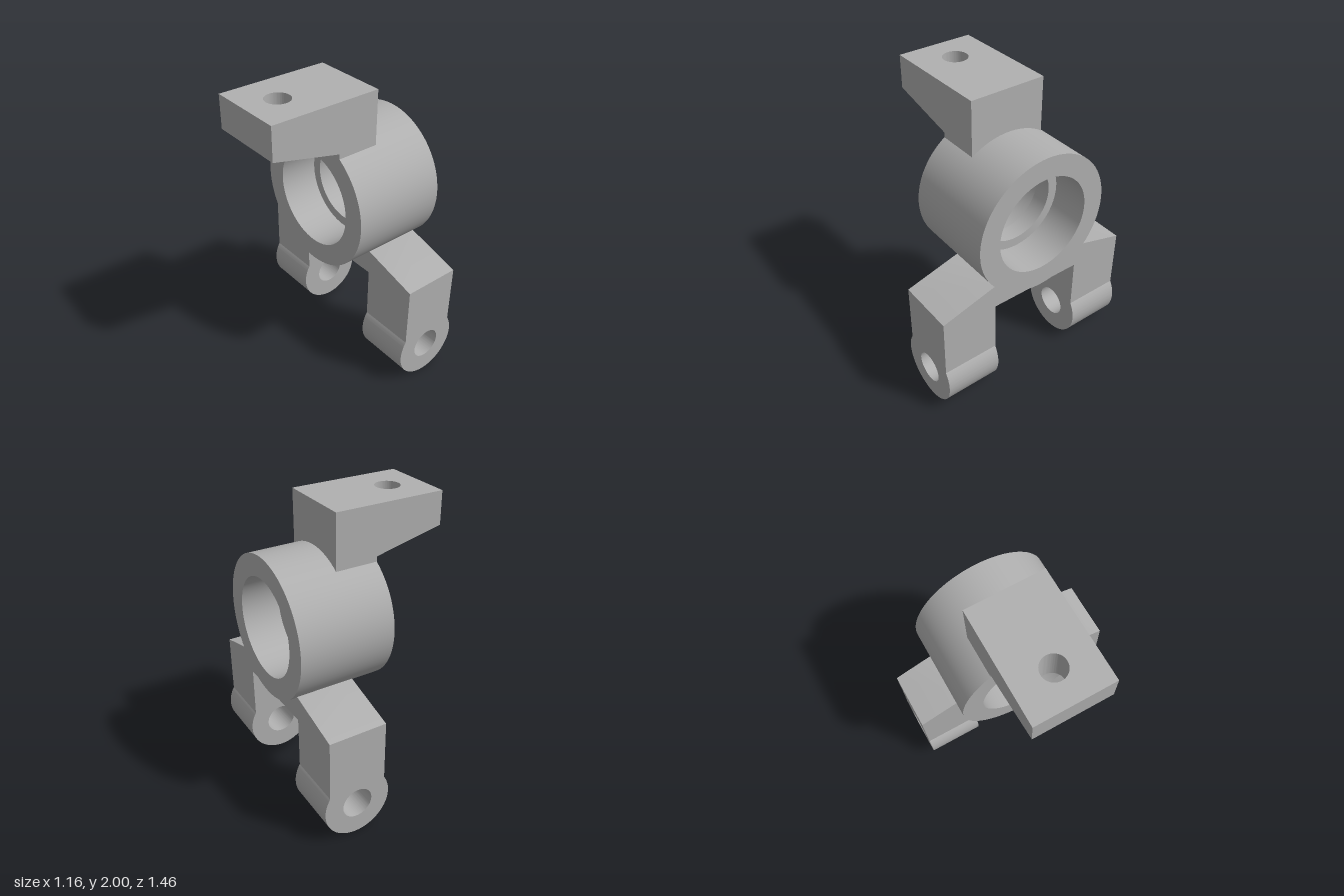
import * as THREE from 'three';
import { toCreasedNormals } from 'three/addons/utils/BufferGeometryUtils.js';

const grey = new THREE.MeshStandardMaterial({ color: 0xb0b0b0 });
grey.name = 'machinedGrey';

function part(name, geometry) {
  const mesh = new THREE.Mesh(toCreasedNormals(geometry, 0.4), grey);
  mesh.name = name;
  return mesh;
}

function polygon(points) {
  return new THREE.Shape(points.map(([x, y]) => new THREE.Vector2(x, y)));
}

function roundHole(x, y, r) {
  return new THREE.Path().absarc(x, y, r, 0, Math.PI * 2, true);
}

function extrude(shape, depth) {
  return new THREE.ExtrudeGeometry(shape, { depth, bevelEnabled: false, curveSegments: 64 });
}

// Bearing ring along x, stepped bore with a narrow lip in the middle
function bearingRing() {
  const x0 = -0.1, x1 = 0.556, outer = 0.477, bore = 0.332, lip = 0.267;
  const profile = [
    [outer, x0], [outer, x1], [bore, x1], [bore, 0.29], [lip, 0.29],
    [lip, 0.17], [bore, 0.17], [bore, x0], [outer, x0],
  ].map(([r, y]) => new THREE.Vector2(r, y));
  const g = new THREE.LatheGeometry(profile, 96);
  g.rotateZ(-Math.PI / 2);
  g.translate(0, 1.233, 0);
  return part('bearingRing', g);
}

// Drilled arm that overhangs to the side, with a sloping underside
function topArm() {
  const x0 = -0.576, x1 = -0.1, half = 0.263;
  const shape = polygon([[x0, -half], [x1, -half], [x1, half], [x0, half]]);
  shape.holes.push(roundHole(-0.346, 0, 0.083));
  const g = extrude(shape, 1);
  g.rotateX(-Math.PI / 2);
  const p = g.attributes.position;
  for (let i = 0; i < p.count; i++) {
    const t = (p.getX(i) - x0) / (x1 - x0);
    p.setY(i, p.getY(i) > 0.5 ? 2 : THREE.MathUtils.lerp(1.775, 1.665, t));
  }
  return part('topArm', g);
}

// Solid block joining the arm to the ring
function topBlock() {
  const g = new THREE.BoxGeometry(0.29, 0.39, 0.526);
  g.translate(0.045, 1.805, 0);
  return part('topBlock', g);
}

const LEG_X = 0.315, LEG_HALF = 0.2, BOSS_R = 0.235, BOSS_Y = 0.235;
const LEG_IN = 0.332, LEG_OUT = 0.723;
const BOSS_ANGLE = Math.acos(LEG_HALF / BOSS_R);
const BOSS_TOP = BOSS_Y + BOSS_R * Math.sin(BOSS_ANGLE);

// Fork: bridge under the ring and two legs
function fork() {
  const side = [[LEG_IN, 0.888], [LEG_OUT, 0.78], [LEG_OUT, BOSS_TOP], [LEG_IN, BOSS_TOP], [LEG_IN, 0.715]];
  const mirrored = side.map(([z, y]) => [-z, y]).reverse();
  const g = extrude(polygon([...side, ...mirrored]), LEG_HALF * 2);
  g.rotateY(Math.PI / 2);
  g.translate(LEG_X - LEG_HALF, 0, 0);
  return part('fork', g);
}

// Rounded, drilled foot of each leg
function boss(name, zStart) {
  const shape = new THREE.Shape();
  shape.absarc(0, 0, BOSS_R, Math.PI - BOSS_ANGLE, Math.PI * 2 + BOSS_ANGLE, false);
  shape.holes.push(roundHole(0, 0, 0.105));
  const g = extrude(shape, LEG_OUT - LEG_IN);
  g.translate(LEG_X, BOSS_Y, zStart);
  return part(name, g);
}

export function createModel() {
  const body = new THREE.Group();
  body.name = 'bearingCarrier';
  body.add(
    bearingRing(), topArm(), topBlock(), fork(),
    boss('frontBoss', LEG_IN), boss('backBoss', -LEG_OUT),
  );
  body.position.z = 0.01;
  body.rotation.y = 0.04; // the carrier sits slightly turned
  const model = new THREE.Group();
  model.name = 'model';
  model.add(body);
  return model;
}
